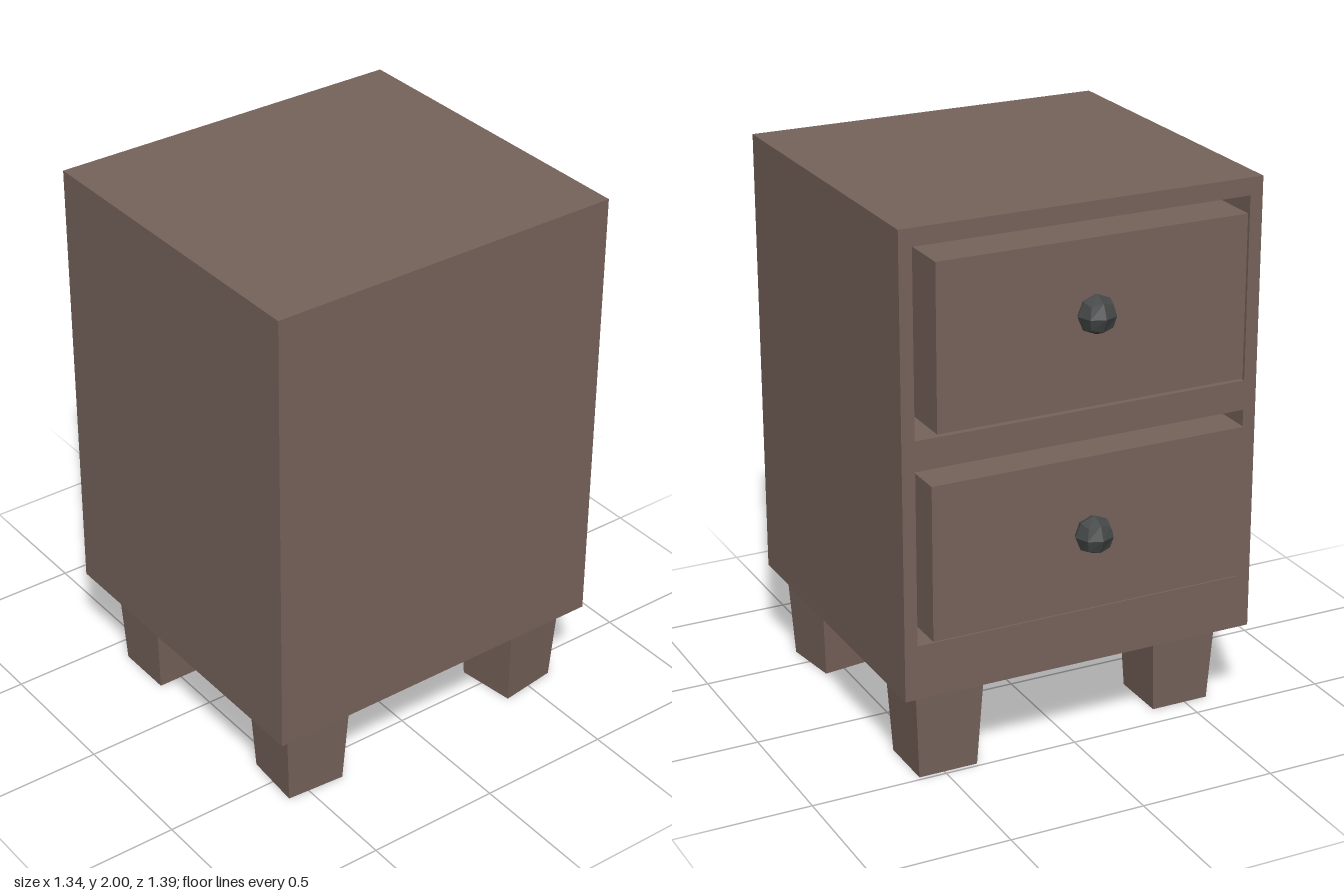
import * as THREE from 'three';

const wood = new THREE.MeshStandardMaterial({ color: 0x76635a, flatShading: true });
const metal = new THREE.MeshStandardMaterial({ color: 0x454848, flatShading: true });

function add(parent, name, geometry, material, x, y, z) {
  const mesh = new THREE.Mesh(geometry, material);
  mesh.name = name;
  mesh.position.set(x, y, z);
  parent.add(mesh);
  return mesh;
}

function rectPath(Type, x, y0, y1) {
  const p = new Type();
  p.moveTo(-x, y0);
  p.lineTo(x, y0);
  p.lineTo(x, y1);
  p.lineTo(-x, y1);
  p.closePath();
  return p;
}

// Four-sided leg, narrower at the foot
function legGeometry(width, height) {
  const g = new THREE.BoxGeometry(width, height, width);
  const p = g.attributes.position;
  for (let i = 0; i < p.count; i++) {
    if (p.getY(i) < 0) p.setXYZ(i, p.getX(i) * 0.86, p.getY(i), p.getZ(i) * 0.86);
  }
  g.computeVertexNormals();
  return g;
}

// Coarse ball made by rounding a subdivided cube
function knobGeometry(radius) {
  const g = new THREE.BoxGeometry(1, 1, 1, 2, 2, 2);
  const p = g.attributes.position;
  const v = new THREE.Vector3();
  for (let i = 0; i < p.count; i++) {
    v.fromBufferAttribute(p, i).setLength(radius);
    p.setXYZ(i, v.x, v.y, v.z);
  }
  g.computeVertexNormals();
  return g;
}

export function createModel() {
  const model = new THREE.Group();
  model.name = 'nightstand';

  const halfW = 0.67, bottom = 0.335, top = 2;
  const openZ = -0.545, cavityZ = 0.6, closedZ = 0.695;

  // Drawers sit loosely inside their openings
  const drawers = [
    { name: 'upperDrawer', x: 0.573, y0: 1.315, y1: 1.9, front: -0.613, hole: [1.275, 1.937], knobY: 1.64 },
    { name: 'lowerDrawer', x: 0.59, y0: 0.57, y1: 1.13, front: -0.602, hole: [0.535, 1.167], knobY: 0.853 },
  ];

  // Cabinet frame with two openings, closed by a panel
  const cabinet = new THREE.Group();
  cabinet.name = 'cabinet';
  model.add(cabinet);
  const shape = rectPath(THREE.Shape, halfW, bottom, top);
  for (const d of drawers) shape.holes.push(rectPath(THREE.Path, 0.622, ...d.hole));
  const frame = new THREE.ExtrudeGeometry(shape, { depth: cavityZ - openZ, bevelEnabled: false });
  add(cabinet, 'cabinetFrame', frame, wood, 0, 0, openZ);
  const panel = new THREE.BoxGeometry(halfW * 2, top - bottom, closedZ - cavityZ);
  add(cabinet, 'cabinetPanel', panel, wood, 0, (top + bottom) / 2, (cavityZ + closedZ) / 2);

  for (const d of drawers) {
    const group = new THREE.Group();
    group.name = d.name;
    model.add(group);
    const box = new THREE.BoxGeometry(d.x * 2, d.y1 - d.y0, cavityZ - d.front);
    add(group, 'drawerBox', box, wood, 0, (d.y0 + d.y1) / 2, (cavityZ + d.front) / 2);
    add(group, 'knob', knobGeometry(0.07), metal, 0, d.knobY, -0.624);
  }

  // Slightly uneven hand-set legs: x, z, turn in degrees
  const legs = [
    ['frontLeftLeg', 0.484, 0.505, 8],
    ['frontRightLeg', -0.463, 0.505, -4],
    ['backLeftLeg', 0.485, -0.375, 0],
    ['backRightLeg', -0.48, -0.297, 0],
  ];
  for (const [name, x, z, turn] of legs) {
    const leg = add(model, name, legGeometry(0.256, bottom), wood, x, bottom / 2, z);
    leg.rotation.y = THREE.MathUtils.degToRad(turn);
  }
  return model;
}
